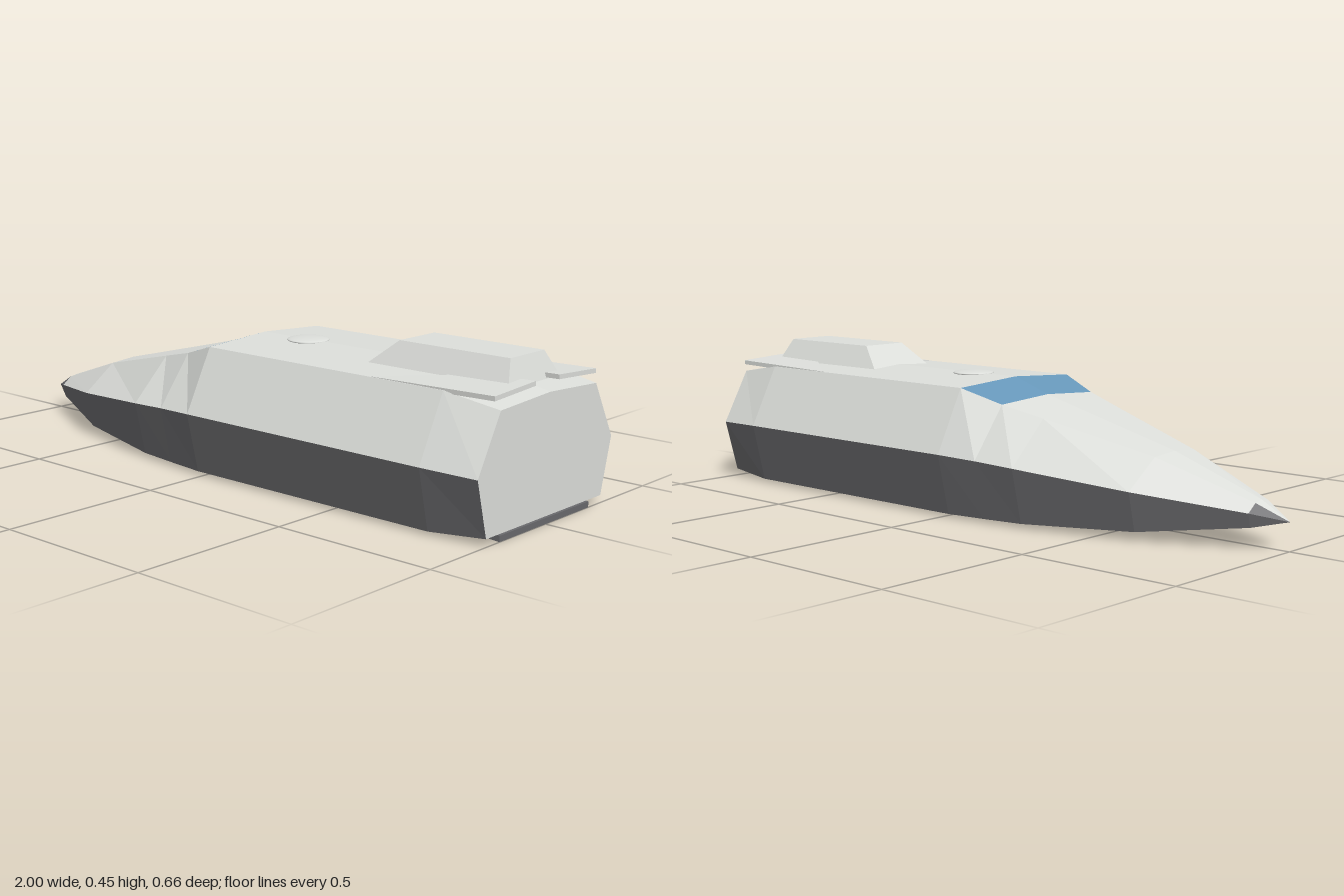
import * as THREE from 'three';

const mat = (name, color) => {
  const m = new THREE.MeshStandardMaterial({ color, flatShading: name !== 'domeGrey' });
  m.name = name;
  return m;
};

export function createModel() {
  const light = mat('lightHull', 0xdcdeda);
  const dark = mat('darkHull', 0x69696c);
  const blue = mat('windowBlue', 0x6797ba);
  const smooth = mat('domeGrey', 0xdcdeda);
  const ship = new THREE.Group();
  ship.name = 'ship';
  const add = (name, geometry, material, parent = ship) => {
    const m = new THREE.Mesh(geometry, material);
    m.name = name;
    parent.add(m);
    return m;
  };

  // Hull stations: x, roof centre y, roof edge y/z, chine y/z, keel y/z
  const stations = [
    [-1.00, 0.08, 0.08, 0.0, 0.08, 0.0, 0.08, 0.0],
    [-0.91, 0.129, 0.124, 0.03, 0.10, 0.062, 0.06, 0.053],
    [-0.62, 0.229, 0.222, 0.09, 0.14, 0.205, 0.026, 0.178],
    [-0.28, 0.314, 0.304, 0.168, 0.176, 0.30, 0.013, 0.262],
    [-0.15, 0.347, 0.335, 0.20, 0.184, 0.315, 0.011, 0.276],
    [-0.02, 0.39, 0.376, 0.237, 0.19, 0.332, 0.01, 0.29],
    [0.83, 0.39, 0.376, 0.237, 0.19, 0.332, 0.01, 0.29],
    [1.00, 0.36, 0.348, 0.222, 0.185, 0.313, 0.022, 0.27],
  ];
  const rings = stations.map(([x, cy, ty, tz, my, mz, by, bz]) => [
    [x, cy, 0], [x, ty, tz], [x, my, mz], [x, by, bz],
    [x, by, -bz], [x, my, -mz], [x, ty, -tz],
  ]);
  const parts = { upperHull: [], lowerHull: [], windscreen: [], noseMarks: [] };
  for (let i = 0; i < rings.length - 1; i++) {
    for (let j = 0; j < 7; j++) {
      const k = (j + 1) % 7;
      const a = rings[i][j], b = rings[i][k], c = rings[i + 1][k], d = rings[i + 1][j];
      let part = 'upperHull';
      if (j >= 2 && j <= 4) part = 'lowerHull';
      else if (i === 4 && (j === 0 || j === 6)) part = 'windscreen';
      else if (i === 0 && (j === 1 || j === 5)) part = 'noseMarks';
      if (i > 0) parts[part].push(...a, ...b, ...c);
      parts[part].push(...a, ...c, ...d);
    }
  }
  // Flat stern
  const stern = rings[rings.length - 1];
  for (let j = 1; j < 6; j++) parts.upperHull.push(...stern[0], ...stern[j], ...stern[j + 1]);

  const colours = { upperHull: light, lowerHull: dark, windscreen: blue, noseMarks: dark };
  for (const name in parts) {
    const g = new THREE.BufferGeometry();
    g.setAttribute('position', new THREE.Float32BufferAttribute(parts[name], 3));
    g.computeVertexNormals();
    add(name, g, colours[name]);
  }

  // Thin plate from an x/z outline, its underside lifted by rule(x, z)
  const plate = (outline, thickness, rule) => {
    const shape = new THREE.Shape(outline.map(([x, z]) => new THREE.Vector2(x, -z)));
    const g = new THREE.ExtrudeGeometry(shape, { depth: thickness, bevelEnabled: false });
    g.rotateX(-Math.PI / 2);
    const p = g.attributes.position;
    for (let i = 0; i < p.count; i++) p.setY(i, p.getY(i) + rule(p.getX(i), p.getZ(i)));
    g.computeVertexNormals();
    return g;
  };

  // Roof flaps, rising slightly towards the stern
  for (const s of [1, -1]) {
    const outline = [[0.59, 0.235], [0.99, 0.235], [0.99, 0.055], [0.84, 0.055]];
    add(s > 0 ? 'leftRoofFlap' : 'rightRoofFlap', plate(
      outline.map(([x, z]) => [x, z * s]), 0.013,
      (x, z) => 0.364 + (x - 0.59) * 0.02 + (0.235 - Math.abs(z)) * 0.06), light);
  }

  // Belly flap under the stern
  add('bellyFlap', plate([[0.85, 0.21], [1, 0.21], [1, -0.21], [0.85, -0.21]], 0.017,
    (x) => (1 - x) * 0.06), dark);

  // Tapered equipment pod on the roof
  const pod = new THREE.BoxGeometry(1, 1, 1);
  const p = pod.attributes.position;
  for (let i = 0; i < p.count; i++) {
    const top = p.getY(i) > 0, rear = p.getX(i) > 0;
    p.setXYZ(i,
      rear ? (top ? 0.925 : 0.95) : (top ? 0.56 : 0.475),
      top ? 0.45 : 0.378,
      Math.sign(p.getZ(i)) * (top ? 0.078 : 0.12));
  }
  pod.computeVertexNormals();
  add('roofPod', pod, light);

  // Shallow roof dome
  const dome = new THREE.SphereGeometry(0.063, 32, 16);
  dome.scale(1, 0.13, 1);
  add('roofDome', dome, smooth).position.set(0.155, 0.389, 0);

  return ship;
}
